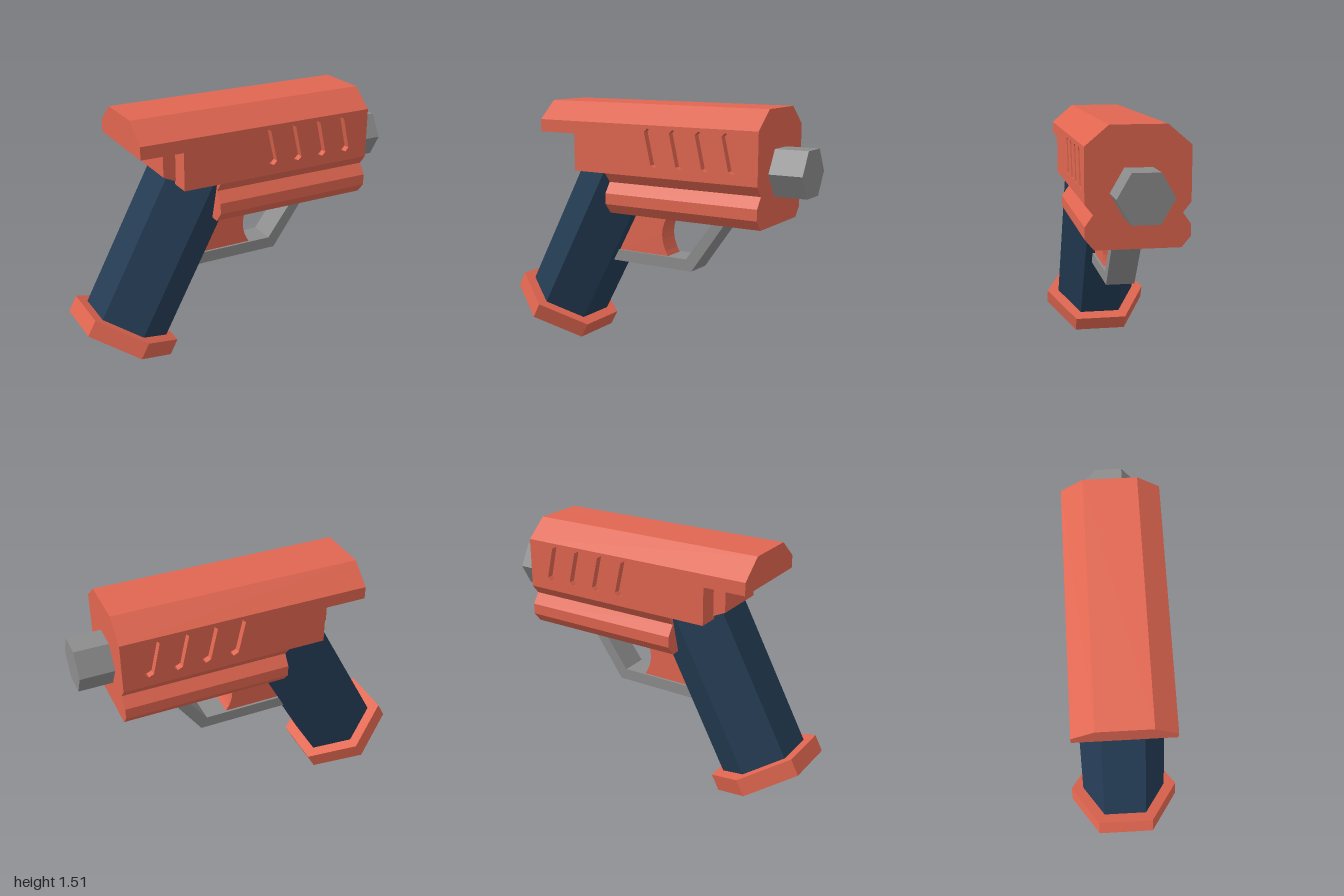
import * as THREE from 'three';

const paint = (color) => new THREE.MeshStandardMaterial({ color, flatShading: true });
const coral = paint(0xe06650);
const navy = paint(0x243c54);
const steel = paint(0x8c8c8c);

const shapeOf = (points) => new THREE.Shape(points.map(([x, y]) => new THREE.Vector2(x, y)));

// Side outline (x, y) extruded between two z values
function sidePart(shape, z0, z1) {
  const geo = new THREE.ExtrudeGeometry(shape, { depth: z1 - z0, bevelEnabled: false, curveSegments: 8 });
  return geo.translate(0, 0, z0);
}

// Half cross-section (z, y), mirrored and extruded along x
function lengthPart(half, x0, x1) {
  const mirrored = half.map(([z, y]) => [-z, y]).reverse();
  const geo = new THREE.ExtrudeGeometry(shapeOf([...half, ...mirrored]), { depth: x1 - x0, bevelEnabled: false });
  return geo.rotateY(Math.PI / 2).translate(x0, 0, 0);
}

export function createModel() {
  const group = new THREE.Group();
  const add = (name, geometry, material) => {
    const mesh = new THREE.Mesh(geometry, material);
    mesh.name = name;
    group.add(mesh);
    return mesh;
  };

  // Upper body: chamfered top
  add('bodyTop', lengthPart([[0.285, 1.41], [0.155, 1.52]], -0.68, 0.8), coral);

  // Upper body: stepped core between two slotted side plates
  const bodyOutline = [[0.8, 1.11], [0.8, 1.41], [-0.68, 1.41], [-0.68, 1.335], [-0.425, 1.335], [-0.425, 1.11]];
  add('bodyCore', sidePart(shapeOf(bodyOutline), -0.245, 0.245), coral);
  const plate = shapeOf(bodyOutline);
  const slot = [[0.075, 1.37], [0.097, 1.392], [0.126, 1.375], [0.17, 1.188], [0.149, 1.166], [0.119, 1.18]];
  for (let i = 0; i < 4; i++) {
    const hole = slot.map(([x, y]) => new THREE.Vector2(x + i * 0.1675, y));
    plate.holes.push(new THREE.Path(hole));
  }
  add('leftSlottedPlate', sidePart(plate, 0.245, 0.285), coral);
  add('rightSlottedPlate', sidePart(plate, -0.285, -0.245), coral);

  // Lower rail with a V groove under the body
  add('lowerRail', lengthPart(
    [[0.235, 0.865], [0.285, 0.925], [0.285, 0.99], [0.24, 1.053], [0.285, 1.11]], -0.2, 0.8), coral);

  // Block behind the body
  add('rearBlock', sidePart(
    shapeOf([[-0.5, 1.165], [-0.4, 1.12], [-0.4, 1.305], [-0.5, 1.305]]), -0.17, 0.17), coral);

  // Hexagonal barrel
  const barrel = add('barrel', new THREE.CylinderGeometry(0.153, 0.153, 0.25, 6), steel);
  barrel.rotation.z = -Math.PI / 2;
  barrel.position.set(0.875, 1.165, 0);

  // Tilted hexagonal grip with a wider base plate
  const handle = new THREE.Group();
  handle.name = 'handle';
  handle.position.set(-0.72, 0.1875, 0);
  handle.rotation.z = -28 * Math.PI / 180;
  const grip = new THREE.Mesh(new THREE.CylinderGeometry(0.26, 0.26, 1.07, 6), navy);
  grip.name = 'grip';
  grip.position.y = 0.535;
  const base = new THREE.Mesh(new THREE.CylinderGeometry(0.335, 0.335, 0.103, 6), coral);
  base.name = 'gripBase';
  handle.add(grip, base);
  group.add(handle);

  // Trigger with a concave front
  const trigger = new THREE.Shape();
  trigger.moveTo(-0.3, 0.59);
  trigger.lineTo(0.11, 0.595);
  trigger.quadraticCurveTo(0.015, 0.735, 0.12, 0.87);
  trigger.lineTo(-0.15, 0.87);
  add('trigger', sidePart(trigger, -0.07, 0.07), coral);

  // Bent guard bar
  add('triggerGuard', sidePart(shapeOf([[-0.36, 0.53], [0.28, 0.53], [0.492, 0.83],
    [0.44, 0.866], [0.242, 0.6], [-0.36, 0.6]]), -0.085, 0.085), steel);

  return group;
}
